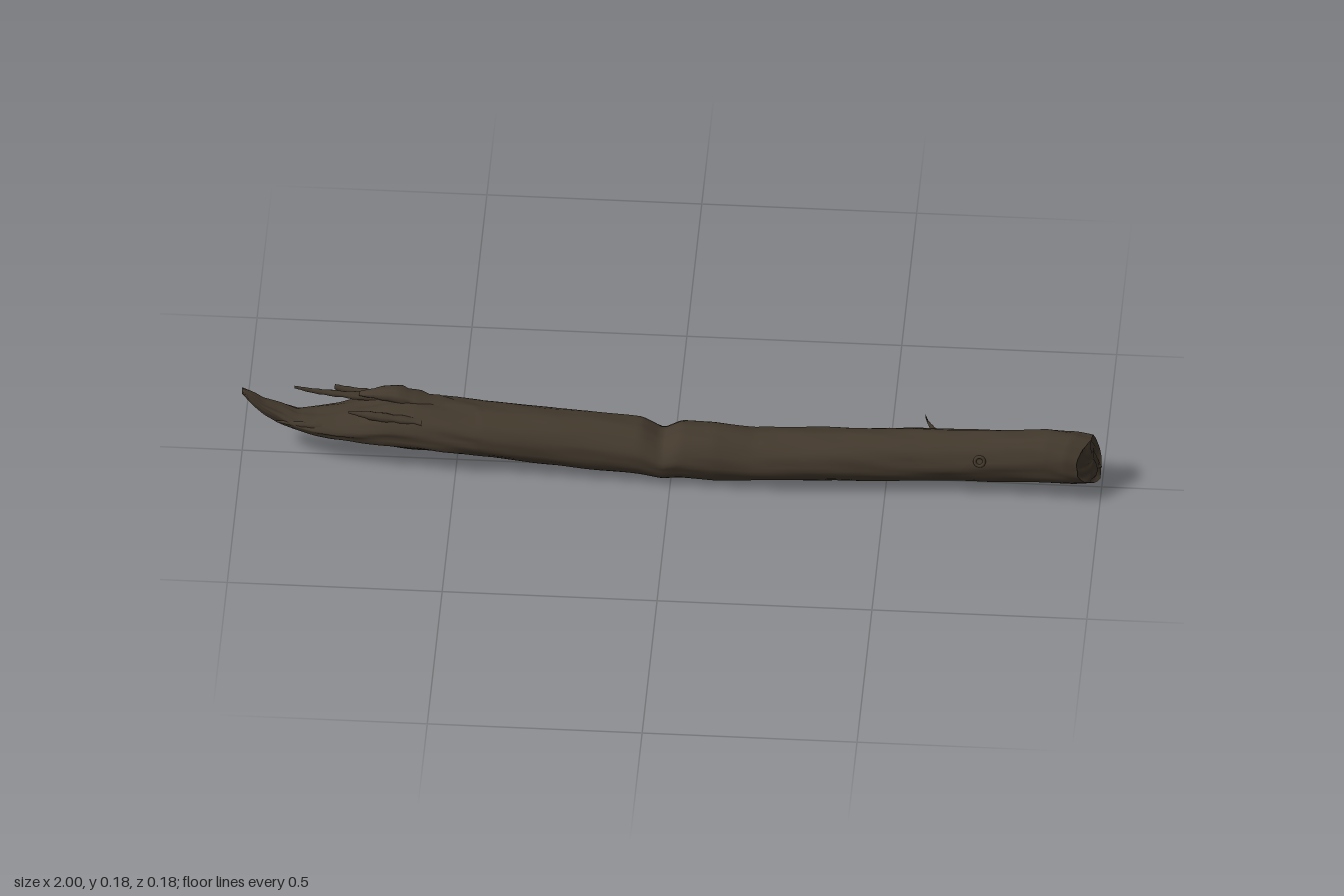
import * as THREE from 'three';

const SIDES = 40;

// Skin a list of rings (arrays of Vector3, running towards +x) into one surface
function loft(rings) {
  const n = rings[0].length, pos = [], idx = [];
  rings.forEach(r => r.forEach(p => pos.push(p.x, p.y, p.z)));
  for (let i = 0; i < rings.length - 1; i++)
    for (let j = 0; j < n; j++) {
      const k = (j + 1) % n, a = i * n + j, b = a + n, c = i * n + k, d = c + n;
      idx.push(a, b, c, b, d, c);
    }
  const g = new THREE.BufferGeometry();
  g.setAttribute('position', new THREE.Float32BufferAttribute(pos, 3));
  g.setIndex(idx);
  g.computeVertexNormals();
  return g;
}

// Smooth pseudo-noise along the trunk, periodic around it
function bark(x, a) {
  return 0.4 * Math.sin(7 * a + 3 * Math.sin(4 * x)) + 0.35 * Math.sin(11 * a + 9 * x + 2 * Math.sin(13 * x))
    + 0.3 * Math.sin(3 * a - 17 * x) + 0.25 * Math.sin(41 * x + 5 * a) + 0.2 * Math.sin(16 * a + 23 * x);
}

// Trunk stations: x, bottom y, top y, back z, front z
const STATIONS = [
  [-1.0, 0.175, 0.19, -0.006, 0.008], [-0.975, 0.145, 0.178, -0.012, 0.014],
  [-0.95, 0.122, 0.16, -0.014, 0.017], [-0.91, 0.098, 0.145, -0.022, 0.022],
  [-0.87, 0.086, 0.13, -0.026, 0.035], [-0.83, 0.078, 0.128, -0.045, 0.045],
  [-0.78, 0.07, 0.132, -0.06, 0.053], [-0.72, 0.061, 0.142, -0.08, 0.059],
  [-0.66, 0.055, 0.155, -0.086, 0.063], [-0.6, 0.049, 0.158, -0.085, 0.065],
  [-0.5, 0.04, 0.155, -0.083, 0.065], [-0.4, 0.031, 0.15, -0.08, 0.065],
  [-0.2, 0.015, 0.143, -0.073, 0.07], [-0.07, 0.01, 0.137, -0.064, 0.076],
  [-0.02, 0.007, 0.112, -0.06, 0.079], [0.02, 0.009, 0.138, -0.059, 0.081],
  [0.1, 0.01, 0.14, -0.056, 0.085], [0.19, 0.014, 0.129, -0.055, 0.083],
  [0.4, 0.019, 0.135, -0.056, 0.076], [0.58, 0.024, 0.143, -0.059, 0.068],
  [0.66, 0.027, 0.148, -0.051, 0.066], [0.8, 0.034, 0.158, -0.045, 0.07],
  [0.88, 0.038, 0.167, -0.042, 0.073], [0.95, 0.04, 0.165, -0.038, 0.076],
  [0.99, 0.043, 0.155, -0.037, 0.073],
];

function stationAt(x) {
  let i = 0;
  while (i < STATIONS.length - 2 && x > STATIONS[i + 1][0]) i++;
  const A = STATIONS[i], B = STATIONS[i + 1], t = (x - A[0]) / (B[0] - A[0]);
  return A.map((v, k) => v + (B[k] - v) * t);
}

function trunkRing(x, scale = 1) {
  const [, y0, y1, z0, z1] = stationAt(x), ring = [];
  const rough = Math.min(0.0035, 0.05 * (y1 - y0)) * (x < -0.45 ? 1.2 : 0.6);
  for (let j = 0; j < SIDES; j++) {
    const a = j / SIDES * Math.PI * 2, n = rough * bark(x, a) * scale;
    const p = new THREE.Vector3(x,
      (y0 + y1) / 2 + ((y1 - y0) / 2 * scale + n) * Math.sin(a),
      (z0 + z1) / 2 + ((z1 - z0) / 2 * scale + n) * Math.cos(a));
    // the right end is broken off at a slant
    if (x > 0.85) {
      const cut = 0.008 - 0.8 * Math.max(0, p.z - 0.02) - 0.25 * Math.max(0, p.y - 0.07);
      p.x += cut * (x - 0.85) / 0.14;
    }
    ring.push(p);
  }
  return ring;
}

// Tapered piece of wood along a path running towards +x; sizes are [half height, half depth]
function splinterGeometry(points, sizes) {
  const curve = new THREE.CatmullRomCurve3(points.map(p => new THREE.Vector3(...p)));
  const rings = [], steps = 14, n = 10;
  for (let i = 0; i <= steps; i++) {
    const t = i / steps, c = curve.getPoint(t), f = t * (sizes.length - 1);
    const k = Math.min(sizes.length - 2, Math.floor(f)), u = f - k;
    const h = sizes[k].map((v, m) => v + (sizes[k + 1][m] - v) * u);
    const wob = 1 + 0.16 * Math.sin(i * 2.3) + 0.1 * Math.sin(i * 4.1);
    rings.push(Array.from({ length: n }, (_, j) => {
      const a = j / n * Math.PI * 2;
      return new THREE.Vector3(c.x, c.y + h[0] * wob * Math.sin(a), c.z + h[1] * wob * Math.cos(a));
    }));
  }
  return loft(rings);
}

export function createModel() {
  const model = new THREE.Group();
  model.name = 'fallenLog';
  const barkMat = new THREE.MeshStandardMaterial({ color: 0x43392d });
  barkMat.name = 'darkBark';
  const woodMat = new THREE.MeshStandardMaterial({ color: 0x40362b });
  woodMat.name = 'brokenWood';
  const add = (name, geometry, material) => {
    const mesh = new THREE.Mesh(geometry, material);
    mesh.name = name;
    model.add(mesh);
  };

  // Trunk, tapering to a long splinter on the left
  const rings = [];
  const steps = 200;
  for (let i = 0; i <= steps; i++) rings.push(trunkRing(-1 + 1.99 * i / steps));
  const tip = new THREE.Vector3(-1, 0.184, 0.001);
  rings.unshift(rings[0].map(() => tip));
  add('trunk', loft(rings), barkMat);

  // Broken right end, slightly hollow and rough
  const cap = [1, 0.9, 0.75, 0.55, 0.3, 0].map((s, i) => trunkRing(0.99, s).map((p, j) => {
    if (i) p.x += -0.008 + (s > 0 ? 0.005 * Math.sin(j * 0.9 + i * 2) * s : 0);
    return p;
  }));
  add('brokenEnd', loft(cap), woodMat);

  // Jagged splinters where the left side has torn away
  const splinters = [
    ['backFlap', [[-0.79, 0.142, -0.08], [-0.74, 0.125, -0.08], [-0.66, 0.115, -0.072], [-0.56, 0.11, -0.065]],
      [[0.006, 0.006], [0.016, 0.009], [0.026, 0.014], [0.018, 0.012]]],
    ['topHump', [[-0.73, 0.158, -0.038], [-0.65, 0.164, -0.035], [-0.58, 0.153, -0.03], [-0.48, 0.145, -0.025]],
      [[0.003, 0.008], [0.018, 0.026], [0.013, 0.028], [0.004, 0.015]]],
    ['thinSplinter', [[-0.88, 0.175, -0.03], [-0.84, 0.162, -0.036], [-0.78, 0.153, -0.04], [-0.68, 0.142, -0.045]],
      [[0.003, 0.003], [0.006, 0.005], [0.007, 0.009], [0.008, 0.014]]],
    ['frontSplinter', [[-0.75, 0.155, 0.03], [-0.69, 0.148, 0.033], [-0.58, 0.14, 0.035]],
      [[0.003, 0.003], [0.011, 0.011], [0.006, 0.012]]],
    ['lowSplinter', [[-0.92, 0.115, 0.025], [-0.85, 0.112, 0.03], [-0.72, 0.11, 0.035]],
      [[0.002, 0.002], [0.009, 0.009], [0.012, 0.012]]],
  ];
  for (const [name, path, sizes] of splinters) add(name, splinterGeometry(path, sizes), barkMat);

  // Short twig stub on the back and a small knot on the front
  add('twigStub', splinterGeometry([[0.585, 0.138, -0.07], [0.592, 0.125, -0.062], [0.61, 0.105, -0.05]],
    [[0.004, 0.004], [0.005, 0.005], [0.012, 0.009]]), barkMat);
  const knot = new THREE.TorusGeometry(0.011, 0.004, 8, 18);
  knot.rotateX(-0.35);
  knot.translate(0.72, 0.115, 0.064);
  add('knot', knot, barkMat);

  // Jagged lip on the lower right corner of the broken end
  add('endLip', splinterGeometry([[0.94, 0.062, -0.012], [0.975, 0.06, -0.012], [1.0, 0.058, -0.01]],
    [[0.01, 0.015], [0.015, 0.02], [0.001, 0.001]]), woodMat);
  return model;
}
